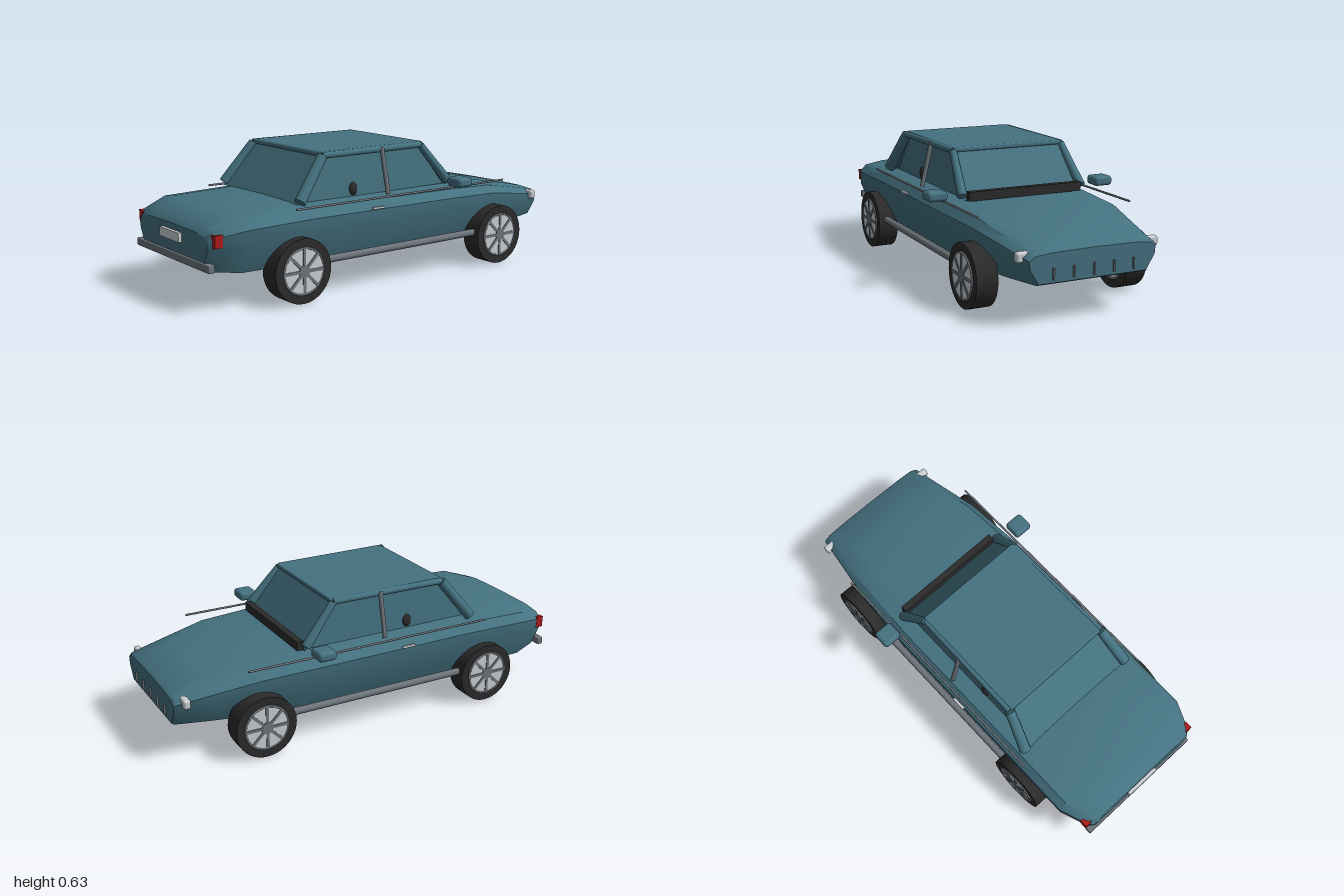
import * as THREE from 'three';
import { toCreasedNormals } from 'three/addons/utils/BufferGeometryUtils.js';
import { RoundedBoxGeometry } from 'three/addons/geometries/RoundedBoxGeometry.js';

const mat = (name, color, extra = {}) => new THREE.MeshStandardMaterial({ name, color, ...extra });

export function createModel() {
  const car = new THREE.Group();
  car.name = 'car';
  const paint = mat('teal paint', 0x457281);
  const glass = mat('teal glass', 0x457281, { side: THREE.DoubleSide });
  const rubber = mat('black rubber', 0x2b2b2b);
  const steel = mat('grey steel', 0x6d747b);
  const silver = mat('light silver', 0xcacfd3);
  const red = mat('red lens', 0xb01c1c);

  const add = (name, geo, material, x = 0, y = 0, z = 0, parent = car) => {
    const m = new THREE.Mesh(geo, material);
    m.name = name;
    m.position.set(x, y, z);
    parent.add(m);
    return m;
  };
  const box = (name, w, h, d, material, x, y, z) =>
    add(name, new THREE.BoxGeometry(w, h, d), material, x, y, z);
  // Round bar between two points
  const bar = (name, a, b, r, material, r2 = r) => {
    const p = new THREE.Vector3(...a), q = new THREE.Vector3(...b);
    const m = add(name, new THREE.CylinderGeometry(r2, r, p.distanceTo(q), 16), material);
    m.position.copy(p).add(q).multiplyScalar(0.5);
    m.quaternion.setFromUnitVectors(new THREE.Vector3(0, 1, 0), q.sub(p).normalize());
    return m;
  };
  const pane = (name, a, b, c, d) => {
    const g = new THREE.BufferGeometry();
    g.setAttribute('position', new THREE.Float32BufferAttribute([...a, ...b, ...c, ...a, ...c, ...d], 3));
    g.computeVertexNormals();
    add(name, g, glass);
  };

  // Body: cross-sections [z, half width, top, bottom]
  const sections = [
    [0.98, 0.31, 0.34, 0.19], [0.955, 0.335, 0.37, 0.175], [0.83, 0.385, 0.41, 0.16],
    [0.5, 0.385, 0.42, 0.155], [-0.3, 0.385, 0.415, 0.155], [-0.6, 0.367, 0.402, 0.157],
    [-0.8, 0.335, 0.362, 0.167], [-0.975, 0.308, 0.325, 0.18], [-0.985, 0.3, 0.315, 0.186],
  ];
  const ring = ([z, w, t, b]) => {
    const h = t - b;
    const half = [[0.65, t - 0.003], [0.91, t - 0.08 * h], [1, t - 0.23 * h], [0.985, b + 0.5 * h], [0.85, b]];
    const right = half.map(([x, y]) => [x * w, y, z]);
    return [...right, ...right.map(([x, y]) => [-x, y, z]).reverse(), [0, t, z]];
  };
  const n = 11, pts = [], faces = [];
  sections.forEach((s) => pts.push(...ring(s).flat()));
  for (let i = 0; i < sections.length - 1; i++) {
    for (let j = 0; j < n; j++) {
      const a = i * n + j, b = i * n + (j + 1) % n;
      faces.push(a, b, a + n, b, b + n, a + n);
    }
  }
  const last = (sections.length - 1) * n;
  for (let j = 1; j < n - 1; j++) {
    faces.push(0, j + 1, j, last, last + j, last + j + 1);
  }
  const bodyGeo = new THREE.BufferGeometry();
  bodyGeo.setAttribute('position', new THREE.Float32BufferAttribute(pts, 3));
  bodyGeo.setIndex(faces);
  add('body', toCreasedNormals(bodyGeo, 0.65), paint);

  // Cabin
  add('roof', new RoundedBoxGeometry(0.56, 0.022, 0.6, 2, 0.008), paint, 0, 0.619, 0.085);
  pane('tailWindow', [-0.315, 0.413, 0.53], [0.315, 0.413, 0.53], [0.272, 0.608, 0.38], [-0.272, 0.608, 0.38]);
  pane('windscreen', [0.297, 0.41, -0.355], [-0.297, 0.41, -0.355], [-0.27, 0.61, -0.205], [0.27, 0.61, -0.205]);
  box('cowl', 0.57, 0.042, 0.032, rubber, 0, 0.434, -0.37);

  for (const s of [-1, 1]) {
    pane('sideWindow', [s * 0.277, 0.41, 0.52], [s * 0.277, 0.41, -0.35], [s * 0.26, 0.61, -0.2], [s * 0.26, 0.61, 0.38]);
    bar('tailPillar', [s * 0.322, 0.425, 0.525], [s * 0.285, 0.612, 0.378], 0.027, paint, 0.023);
    bar('windscreenPillar', [s * 0.305, 0.432, -0.352], [s * 0.281, 0.612, -0.2], 0.023, paint, 0.017);
    bar('roofRail', [s * 0.285, 0.614, 0.38], [s * 0.279, 0.614, -0.2], 0.015, paint);
    bar('doorPillar', [s * 0.338, 0.41, 0.042], [s * 0.288, 0.622, 0.042], 0.011, steel);
    const knob = add('windowKnob', new THREE.SphereGeometry(0.025, 16, 12), rubber, s * 0.268, 0.442, 0.198);
    knob.scale.set(0.7, 1.3, 1);

    // Side trim
    add('mirror', new RoundedBoxGeometry(0.094, 0.045, 0.088, 3, 0.016), paint, s * 0.426, 0.442, -0.325);
    bar('beltTrim', [s * 0.375, 0.408, 0.58], [s * 0.375, 0.408, -0.665], 0.005, steel);
    bar('sillPipe', [s * 0.378, 0.167, 0.46], [s * 0.378, 0.167, -0.5], 0.017, steel);
    add('doorHandle', new RoundedBoxGeometry(0.014, 0.011, 0.07, 2, 0.004), silver, s * 0.39, 0.366, 0.14);

    // Lamps
    const lens = new THREE.Shape();
    lens.moveTo(s * 0.312, 0.338);
    lens.lineTo(s * 0.347, 0.342);
    lens.lineTo(s * 0.345, 0.286);
    lens.lineTo(s * 0.325, 0.284);
    const lensGeo = new THREE.ExtrudeGeometry(lens, { depth: 0.037, bevelEnabled: false });
    add('tailLamp', lensGeo, red, 0, 0, 0.928);
    add('headLamp', new RoundedBoxGeometry(0.065, 0.045, 0.034, 3, 0.012), silver, s * 0.305, 0.296, -0.934);
  }

  // Bumper, plate and grille
  add('bumper', new RoundedBoxGeometry(0.662, 0.036, 0.032, 2, 0.006), steel, 0, 0.198, 0.974);
  box('numberPlate', 0.174, 0.042, 0.016, silver, 0, 0.291, 0.988);
  for (let i = -2; i <= 2; i++) box('grilleBar', 0.007, 0.05, 0.014, steel, i * 0.095, 0.225, -0.987);

  // Wheels
  const wheelParts = (wheel) => {
    const disc = (name, r, w, material) => {
      add(name, new THREE.CylinderGeometry(r, r, w, 40), material, 0, 0, 0, wheel).rotation.z = Math.PI / 2;
    };
    disc('tyre', 0.145, 0.1, rubber);
    disc('rim', 0.105, 0.108, silver);
    disc('hub', 0.028, 0.116, steel);
    for (const s of [-1, 1]) {
      const rimRing = add('rimRing', new THREE.TorusGeometry(0.103, 0.005, 8, 40), steel, s * 0.052, 0, 0, wheel);
      rimRing.rotation.y = Math.PI / 2;
      for (let k = 0; k < 8; k++) {
        const a = k * Math.PI / 4;
        const spoke = add('spoke', new THREE.BoxGeometry(0.006, 0.08, 0.014), steel,
          s * 0.054, 0.062 * Math.cos(a), 0.062 * Math.sin(a), wheel);
        spoke.rotation.x = a;
      }
    }
  };
  for (const x of [-0.37, 0.37]) {
    for (const z of [0.575, -0.605]) {
      const wheel = new THREE.Group();
      wheel.name = 'wheel';
      wheel.position.set(x, 0.145, z);
      wheelParts(wheel);
      car.add(wheel);
    }
  }
  return car;
}
